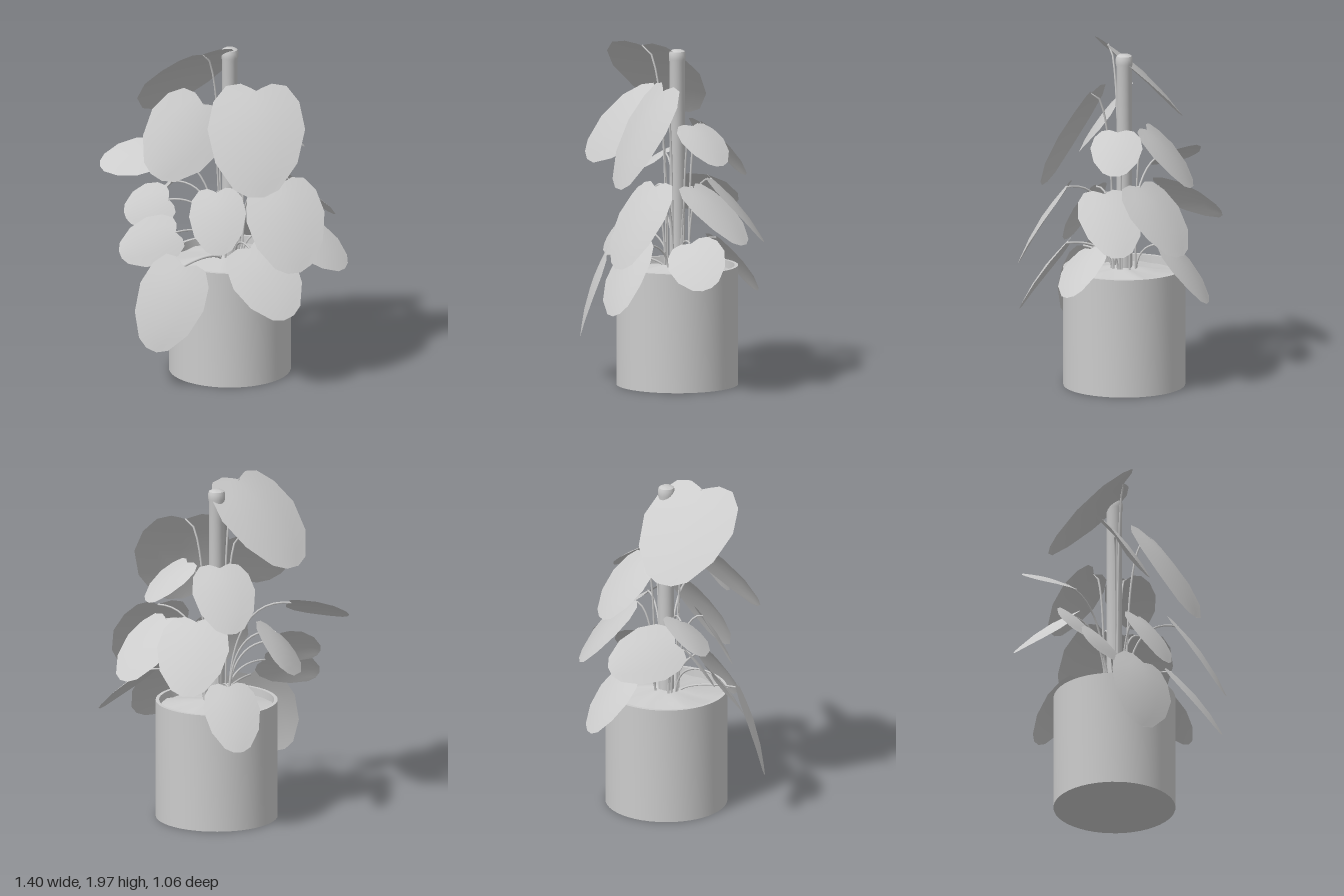
import * as THREE from 'three';
import { toCreasedNormals } from 'three/addons/utils/BufferGeometryUtils.js';

const CX = 0.03, CZ = -0.02; // pot axis
const grey = new THREE.MeshStandardMaterial({ color: 0xcccccc });
const thin = new THREE.MeshStandardMaterial({ color: 0xcccccc, side: THREE.DoubleSide });

// Half outline of a heart-shaped leaf, notch to tip: [half width, position at the edge, position at the midrib]
const OUTLINE = [
  [0.06, -0.03, 0], [0.16, -0.07, 0.04], [0.31, -0.05, 0.11], [0.44, 0.1, 0.22], [0.5, 0.36, 0.42],
  [0.42, 0.68, 0.7], [0.23, 0.93, 0.9], [0.08, 1, 1],
];

// Leaves by tier: [notch, tip, width, optional roll about the midrib]
const UPPER = [
  [[-0.14, 1.95, 0.12], [-0.36, 1.51, -0.25], 0.59],
  [[0.17, 1.73, 0.14], [0.15, 1.18, 0.42], 0.56],
  [[-0.13, 1.63, 0.06], [-0.42, 1.29, 0.34], 0.46, -0.72],
  [[0.05, 1.51, -0.16], [0.06, 1.19, -0.43], 0.37],
  [[0.21, 1.52, -0.03], [0.46, 1.32, -0.08], 0.3],
];
const MIDDLE = [
  [[0.3, 1.2, 0.26], [0.36, 0.75, 0.52], 0.46, 0.1],
  [[-0.06, 1.13, 0.17], [-0.06, 0.81, 0.35], 0.33, 0.2],
  [[-0.38, 1.27, -0.15], [-0.7, 1.19, -0.22], 0.3, -0.5],
  [[-0.29, 1.1, -0.14], [-0.23, 0.98, -0.53], 0.36, -0.74],
  [[0.19, 1.2, -0.16], [0.32, 0.84, -0.43], 0.42],
  [[0.32, 1.18, 0.02], [0.62, 0.88, -0.15], 0.37],
  [[-0.32, 1.02, -0.05], [-0.57, 0.93, -0.05], 0.28, -0.9],
];
const LOWER = [
  [[-0.29, 0.87, 0.1], [-0.61, 0.75, 0.12], 0.3, -0.95],
  [[0.12, 0.83, 0.3], [0.33, 0.48, 0.52], 0.4, 0.59],
  [[-0.26, 0.73, 0.3], [-0.45, 0.25, 0.36], 0.42, -0.76],
  [[0.03, 0.83, -0.27], [0.04, 0.51, -0.52], 0.33],
  [[0.4, 0.87, 0.08], [0.69, 0.65, 0.12], 0.34, 0.43],
];

function add(parent, name, geometry, material) {
  const mesh = new THREE.Mesh(geometry, material);
  mesh.name = name;
  parent.add(mesh);
  return mesh;
}

// Blade: a plane grid reshaped to the outline, arched along the rib and drooping to the sides
function bladeGeometry(length, width) {
  const geo = new THREE.PlaneGeometry(2, 1, 4, OUTLINE.length - 1);
  const p = geo.attributes.position;
  for (let i = 0; i < p.count; i++) {
    const t = p.getX(i), [half, edge, rib] = OUTLINE[Math.floor(i / 5)];
    const u = t * half, v = THREE.MathUtils.lerp(rib, edge, Math.abs(t));
    p.setXYZ(i, u * width, -v * length, 0.05 * length * Math.sin(Math.PI * v) - 0.22 * width * u * u);
  }
  geo.computeVertexNormals();
  return geo;
}

function makeLeaf([notch, tip, width, roll = 0]) {
  const leaf = new THREE.Group();
  leaf.name = 'leaf';
  const base = new THREE.Vector3(...notch);
  const up = base.clone().sub(new THREE.Vector3(...tip));
  const length = up.length();
  up.normalize();
  // Frame of the blade: level across, upper face skyward, then rolled about the midrib
  const side = new THREE.Vector3(-up.z, 0, up.x).normalize().applyAxisAngle(up, -roll);
  const normal = side.clone().cross(up);
  const blade = add(leaf, 'leafBlade', bladeGeometry(length, width), thin);
  blade.quaternion.setFromRotationMatrix(new THREE.Matrix4().makeBasis(side, up, normal));
  blade.position.copy(base);

  // Stalk: rises beside the pole, then arches out to the notch
  const out = Math.atan2(base.z - CZ, base.x - CX);
  const start = new THREE.Vector3(CX + 0.07 * Math.cos(out), 0.66, CZ + 0.07 * Math.sin(out));
  const rise = start.clone().setY(THREE.MathUtils.lerp(0.66, base.y, 0.75));
  const bend = start.clone().lerp(base, 0.4).setY(base.y + 0.02);
  const curve = new THREE.CubicBezierCurve3(start, rise, bend, base);
  add(leaf, 'leafStalk', new THREE.TubeGeometry(curve, 16, 0.006, 6), grey);
  return leaf;
}

export function createModel() {
  const model = new THREE.Group();
  model.name = 'pottedPlant';
  const lathe = (points, segments) =>
    new THREE.LatheGeometry(points.map(([r, y]) => new THREE.Vector2(r, y)), segments);

  // Pot with a thin rim
  const potGeo = lathe([[0, 0], [0.35, 0], [0.35, 0.69], [0.33, 0.69], [0.325, 0.6]], 48);
  add(model, 'pot', toCreasedNormals(potGeo, 0.6), grey).position.set(CX, 0, CZ);

  // Uneven mound of soil
  const soilGeo = lathe([[0.328, 0.645], [0.18, 0.668], [0.09, 0.685], [0, 0.695]], 32);
  const p = soilGeo.attributes.position;
  for (let i = 0; i < p.count; i++) {
    p.setY(i, p.getY(i) + 0.008 * Math.sin(p.getX(i) * 31) * Math.cos(p.getZ(i) * 27));
  }
  soilGeo.computeVertexNormals();
  add(model, 'soil', soilGeo, thin).position.set(CX, 0, CZ);

  // Support pole with a rounded cap
  const poleGeo = lathe([
    [0.045, 0.62], [0.045, 1.87], [0.049, 1.885], [0.049, 1.915], [0.044, 1.93], [0.03, 1.938], [0, 1.94],
  ], 20);
  add(model, 'supportPole', toCreasedNormals(poleGeo, 0.6), grey).position.set(CX, 0, CZ);

  // Three tiers of leaves
  for (const [name, leaves] of Object.entries({ upperLeaves: UPPER, middleLeaves: MIDDLE, lowerLeaves: LOWER })) {
    const tier = new THREE.Group();
    tier.name = name;
    leaves.forEach((leaf) => tier.add(makeLeaf(leaf)));
    model.add(tier);
  }
  return model;
}
